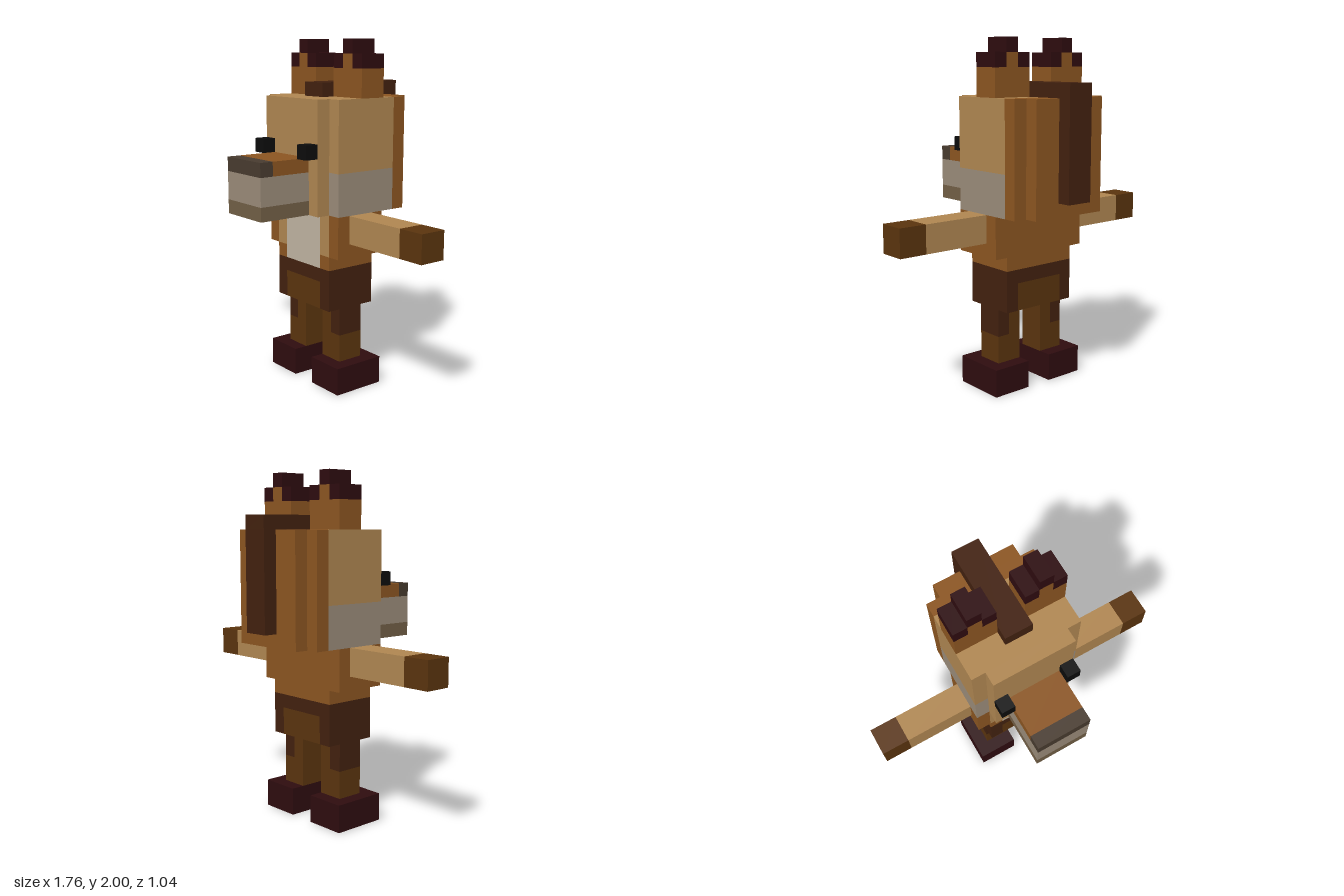
import * as THREE from 'three';

const mat = (name, color) => {
  const m = new THREE.MeshStandardMaterial({ color });
  m.name = name;
  return m;
};

export function createModel() {
  const maroon = mat('maroon', 0x2e0c0f);
  const darkBrown = mat('dark brown', 0x42210f);
  const brown = mat('brown', 0x5a340e);
  const rust = mat('rust', 0x8b5521);
  const tan = mat('tan', 0xaf8651);
  const grey = mat('warm grey', 0x9a8b79);
  const cream = mat('cream', 0xc0b4a2);
  const taupe = mat('taupe', 0x725f46);
  const charcoal = mat('charcoal', 0x483b2f);
  const black = mat('black', 0x0c0c0c);

  const model = new THREE.Group();
  model.name = 'blockAnimal';
  const group = (name) => {
    const g = new THREE.Group();
    g.name = name;
    model.add(g);
    return g;
  };

  // Box from its x, y and z ranges
  const block = (parent, name, m, [x0, x1], [y0, y1], [z0, z1]) => {
    const mesh = new THREE.Mesh(new THREE.BoxGeometry(x1 - x0, y1 - y0, z1 - z0), m);
    mesh.position.set((x0 + x1) / 2, (y0 + y1) / 2, (z0 + z1) / 2);
    mesh.name = name;
    parent.add(mesh);
  };
  // Block centred on x = 0
  const mid = (parent, name, m, w, y, z) => block(parent, name, m, [-w, w], y, z);
  // Mirrored pair of blocks
  const pair = (parent, name, m, [x0, x1], y, z) => {
    block(parent, name + 'Left', m, [x0, x1], y, z);
    block(parent, name + 'Right', m, [-x1, -x0], y, z);
  };

  // Legs and feet
  const legs = group('legs');
  const legZ = [-0.12, 0.04];
  pair(legs, 'foot', maroon, [0.08, 0.32], [0, 0.16], [-0.2, 0.12]);
  pair(legs, 'lowerLeg', brown, [0.08, 0.24], [0.16, 0.32], legZ);
  pair(legs, 'innerThigh', brown, [0.08, 0.16], [0.32, 0.48], legZ);
  pair(legs, 'outerThigh', darkBrown, [0.16, 0.24], [0.32, 0.48], legZ);

  // Hips
  const hips = group('hips');
  const bodyZ = [-0.2, 0.12];
  mid(hips, 'hipPatch', brown, 0.16, [0.48, 0.64], bodyZ);
  pair(hips, 'hipSide', darkBrown, [0.16, 0.24], [0.48, 0.64], bodyZ);
  mid(hips, 'waist', darkBrown, 0.24, [0.64, 0.72], bodyZ);

  // Torso
  const torso = group('torso');
  const chestZ = [0.04, 0.12];
  mid(torso, 'back', rust, 0.24, [0.72, 1.04], [-0.2, 0.04]);
  mid(torso, 'belly', cream, 0.16, [0.72, 1.04], chestZ);
  pair(torso, 'flank', rust, [0.16, 0.24], [0.72, 0.8], chestZ);
  pair(torso, 'chestStripe', tan, [0.16, 0.24], [0.8, 1.04], chestZ);
  pair(torso, 'shoulder', rust, [0.24, 0.32], [0.8, 1.04], bodyZ);

  // Arms
  const arms = group('arms');
  pair(arms, 'arm', tan, [0.32, 0.72], [0.88, 1.04], [-0.12, 0.04]);
  pair(arms, 'hand', brown, [0.72, 0.88], [0.88, 1.04], [-0.12, 0.04]);

  // Head
  const head = group('head');
  const headY = [1.04, 1.68];
  mid(head, 'cheeks', grey, 0.32, [1.04, 1.28], [-0.28, 0.12]);
  mid(head, 'skull', tan, 0.32, [1.28, 1.68], [-0.28, 0.12]);
  mid(head, 'face', tan, 0.24, headY, [0.12, 0.2]);
  mid(head, 'nape', rust, 0.32, headY, [-0.36, -0.28]);
  mid(head, 'napeBack', rust, 0.24, headY, [-0.44, -0.36]);
  pair(head, 'eye', black, [0.16, 0.24], [1.36, 1.44], [0.2, 0.28]);

  // Muzzle
  const muzzle = group('muzzle');
  mid(muzzle, 'jaw', taupe, 0.16, [1.04, 1.12], [0.2, 0.52]);
  mid(muzzle, 'snout', grey, 0.16, [1.12, 1.28], [0.2, 0.52]);
  mid(muzzle, 'bridge', rust, 0.16, [1.28, 1.36], [0.2, 0.44]);
  mid(muzzle, 'nose', charcoal, 0.16, [1.28, 1.36], [0.44, 0.52]);

  // Mane running over the head and down the back
  const mane = group('mane');
  mid(mane, 'maneTop', darkBrown, 0.08, [1.68, 1.76], [-0.52, 0.04]);
  mid(mane, 'maneBack', darkBrown, 0.08, [1.12, 1.68], [-0.52, -0.44]);

  // Ears with dark tips
  const ears = group('ears');
  const earZ = [-0.2, -0.04];
  pair(ears, 'ear', rust, [0.08, 0.32], [1.68, 1.84], earZ);
  pair(ears, 'earMiddle', rust, [0.16, 0.24], [1.84, 1.92], earZ);
  pair(ears, 'earInnerTip', maroon, [0.08, 0.16], [1.84, 1.92], earZ);
  pair(ears, 'earOuterTip', maroon, [0.24, 0.32], [1.84, 1.92], earZ);
  pair(ears, 'earTopTip', maroon, [0.16, 0.24], [1.92, 2], earZ);

  return model;
}
